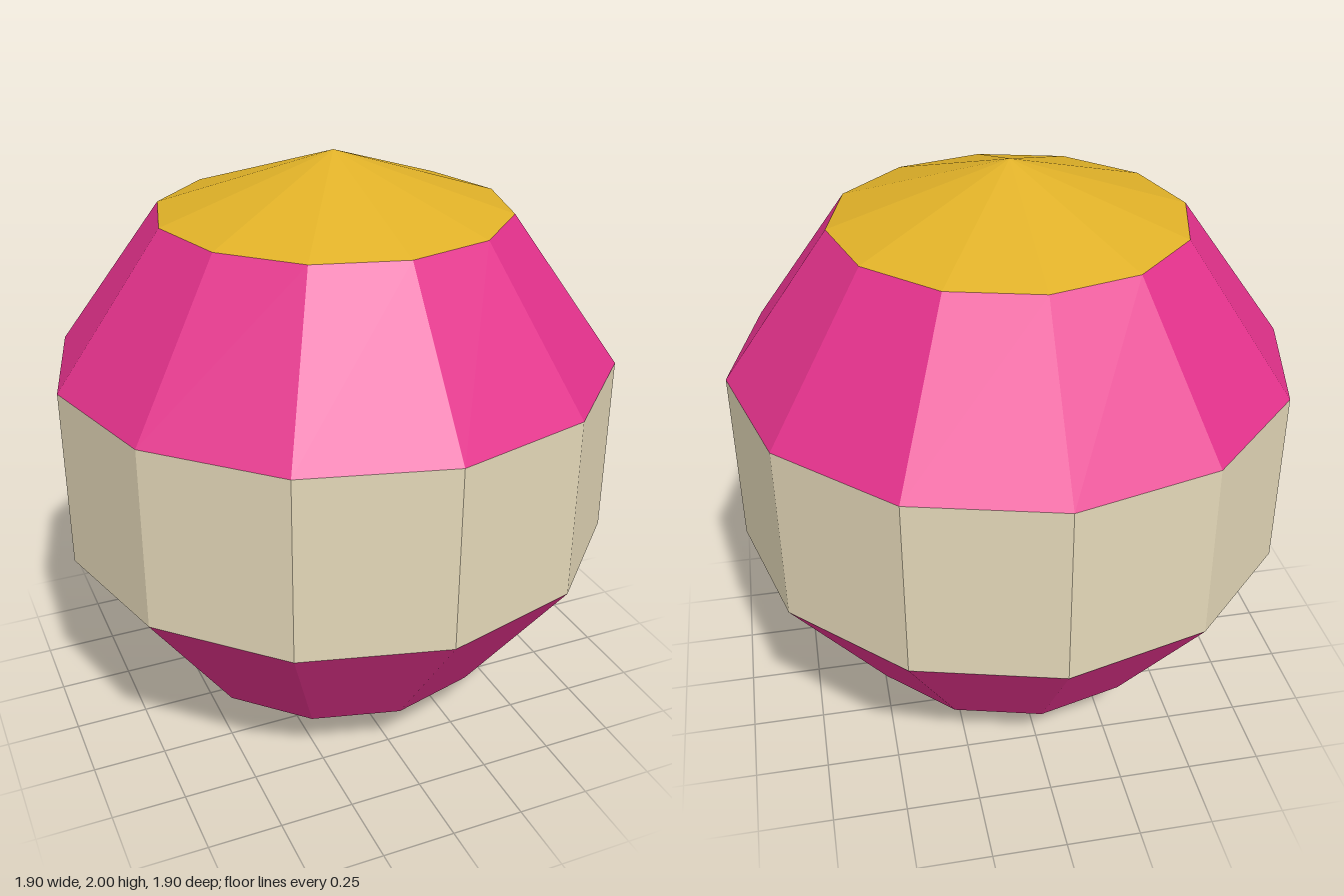
import * as THREE from 'three';

const flat = (name, color) => {
  const m = new THREE.MeshStandardMaterial({ color, flatShading: true });
  m.name = name;
  return m;
};

export function createModel() {
  const group = new THREE.Group();
  group.name = 'bandedBall';
  const gold = flat('gold', 0xe0b128);
  const pink = flat('pink', 0xe4328c);
  const cream = flat('cream', 0xe4d8b8);

  // Five stacked bands of a twelve-sided ball, from the top down
  const bands = [
    ['topCap', gold], ['upperBand', pink], ['middleBand', cream],
    ['lowerBand', pink], ['bottomCap', gold],
  ];
  const step = Math.PI / bands.length;
  bands.forEach(([name, material], i) => {
    const a = i * step, b = a + step;
    const height = Math.cos(a) - Math.cos(b);
    // Rings at equal angles; the end rings close to a point
    const rTop = i === 0 ? 0 : Math.sin(a);
    const rBottom = i === bands.length - 1 ? 0 : Math.sin(b);
    const geometry = new THREE.CylinderGeometry(rTop, rBottom, height, 12, 1, true);
    const mesh = new THREE.Mesh(geometry, material);
    mesh.name = name;
    mesh.position.y = 1 + (Math.cos(a) + Math.cos(b)) / 2;
    group.add(mesh);
  });
  return group;
}
